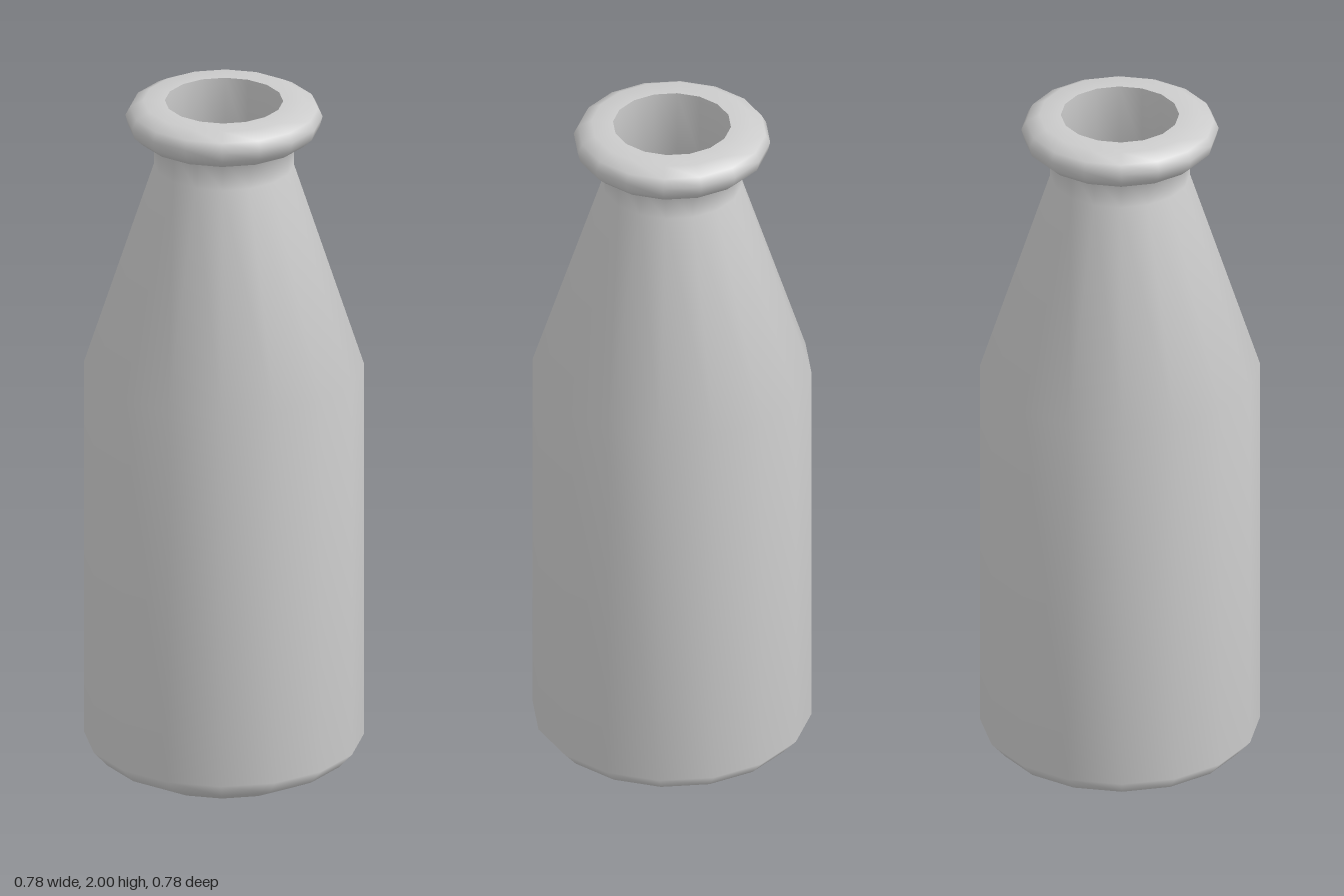
import * as THREE from 'three';

const SIDES = 16;

// Revolve a list of [radius, height] points about the y axis
function revolve(name, profile, material) {
  const points = profile.map(([r, y]) => new THREE.Vector2(r, y));
  const mesh = new THREE.Mesh(new THREE.LatheGeometry(points, SIDES), material);
  mesh.name = name;
  return mesh;
}

export function createModel() {
  const group = new THREE.Group();
  group.name = 'bottle';
  const material = new THREE.MeshStandardMaterial({ color: 0xcccccc, side: THREE.DoubleSide });

  // Outside: base, chamfer, straight body, sloping shoulder, neck and rolled lip
  group.add(revolve('outerShell', [
    [0, 0], [0.26, 0], [0.35, 0.045], [0.39, 0.09],
    [0.39, 1.21], [0.195, 1.81], [0.195, 1.9],
    [0.24, 1.9], [0.267, 1.925], [0.275, 1.955], [0.262, 1.98], [0.225, 2], [0.165, 2],
  ], material));

  // Inside: neck bore, widening cavity and floor
  group.add(revolve('innerLining', [
    [0.165, 2], [0.165, 1.8], [0.36, 1.2], [0.36, 0.1], [0.25, 0.03], [0, 0.03],
  ], material));

  return group;
}
